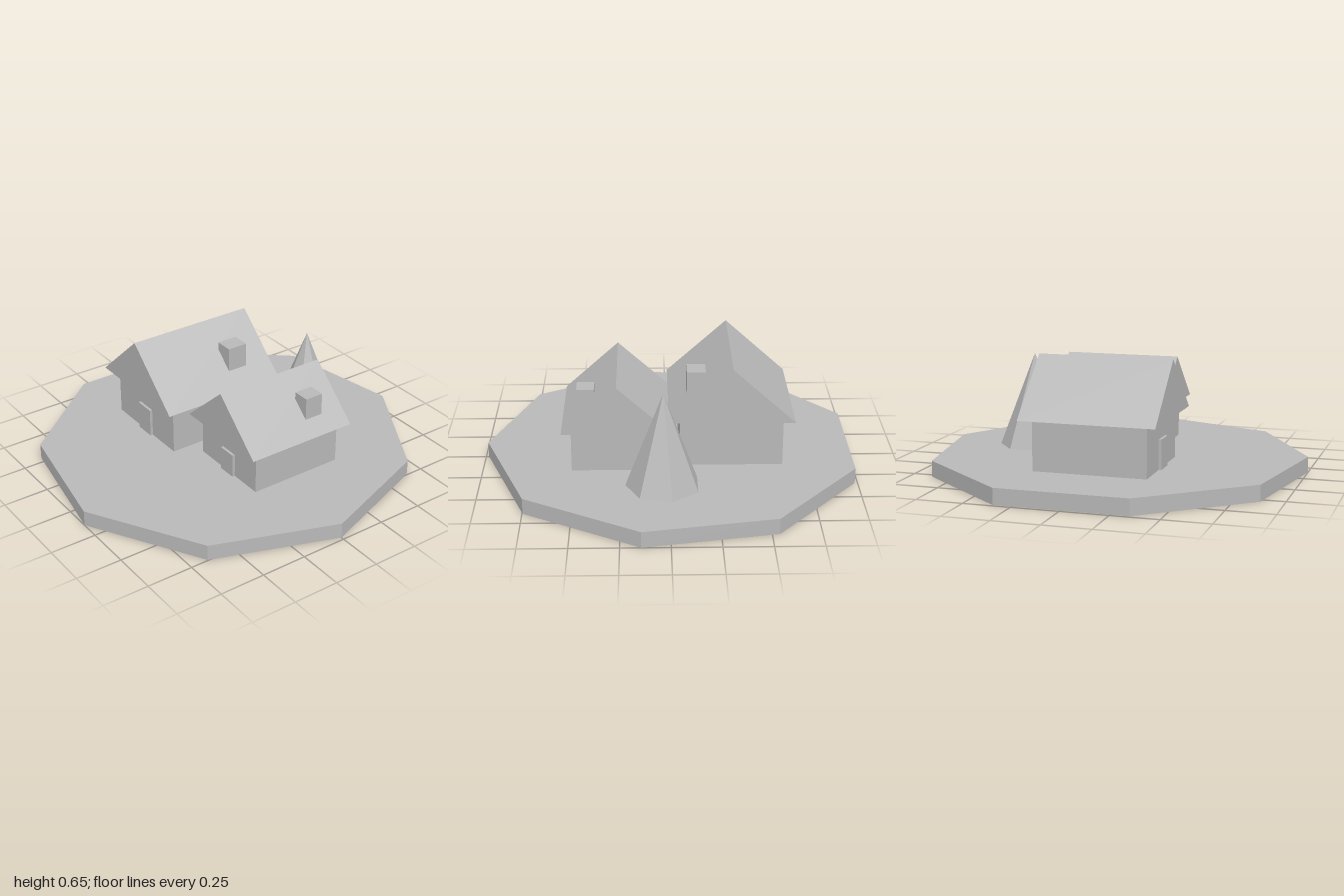
import * as THREE from 'three';

export function createModel() {
  const model = new THREE.Group();
  model.name = 'village';
  const stone = new THREE.MeshStandardMaterial({ color: 0xb8b8b8, flatShading: true });
  stone.name = 'plain grey';
  const ground = 0.086;

  const add = (parent, name, geometry, x, y, z) => {
    const mesh = new THREE.Mesh(geometry, stone);
    mesh.name = name;
    mesh.position.set(x, y, z);
    parent.add(mesh);
  };
  // Box given by its limits on each axis
  const block = (parent, name, [x0, x1], [y0, y1], [z0, z1]) =>
    add(parent, name, new THREE.BoxGeometry(x1 - x0, y1 - y0, z1 - z0),
      (x0 + x1) / 2, (y0 + y1) / 2, (z0 + z1) / 2);

  // Nine-sided island with one corner pointing to +x
  add(model, 'island', new THREE.CylinderGeometry(1.015, 1.015, ground, 9, 1, false, Math.PI / 2),
    -0.031, ground / 2, 0);

  // House: walls, closed gable roof, door and chimney
  const addHouse = (name, h) => {
    const house = new THREE.Group();
    house.name = name;
    block(house, 'walls', [h.x - h.wall / 2, h.x + h.wall / 2], [ground, h.eaves],
      [h.z - h.depth / 2, h.z + h.depth / 2]);

    const gable = new THREE.Shape([
      new THREE.Vector2(-h.roof / 2, 0),
      new THREE.Vector2(h.roof / 2, 0),
      new THREE.Vector2(0, h.ridge - h.eaves),
    ]);
    const roof = new THREE.ExtrudeGeometry(gable, { depth: h.roofDepth, bevelEnabled: false });
    add(house, 'roof', roof, h.x, h.eaves, h.z - h.roofDepth / 2);

    const front = h.z + h.depth / 2;
    block(house, 'door', h.doorX, [ground, h.doorTop], [front - 0.015, front + 0.015]);
    block(house, 'chimney', h.chimneyX, [h.eaves + 0.03, h.chimneyTop], h.chimneyZ);
    model.add(house);
  };

  addHouse('largeHouse', {
    x: -0.331, z: 0.016, wall: 0.544, depth: 0.606, eaves: 0.354,
    roof: 0.66, roofDepth: 0.724, ridge: 0.652,
    doorX: [-0.386, -0.27], doorTop: 0.245,
    chimneyX: [-0.197, -0.097], chimneyZ: [-0.19, -0.075], chimneyTop: 0.575,
  });
  addHouse('smallHouse', {
    x: 0.27, z: -0.077, wall: 0.48, depth: 0.53, eaves: 0.317,
    roof: 0.578, roofDepth: 0.635, ridge: 0.577,
    doorX: [0.22, 0.325], doorTop: 0.217,
    chimneyX: [0.388, 0.48], chimneyZ: [-0.258, -0.154], chimneyTop: 0.51,
  });

  // Seven-sided conical tree behind the houses
  const treeHeight = 0.512;
  add(model, 'tree', new THREE.ConeGeometry(0.196, treeHeight, 7, 1, false, Math.PI / 2),
    0.031, ground + treeHeight / 2, -0.51);

  return model;
}
